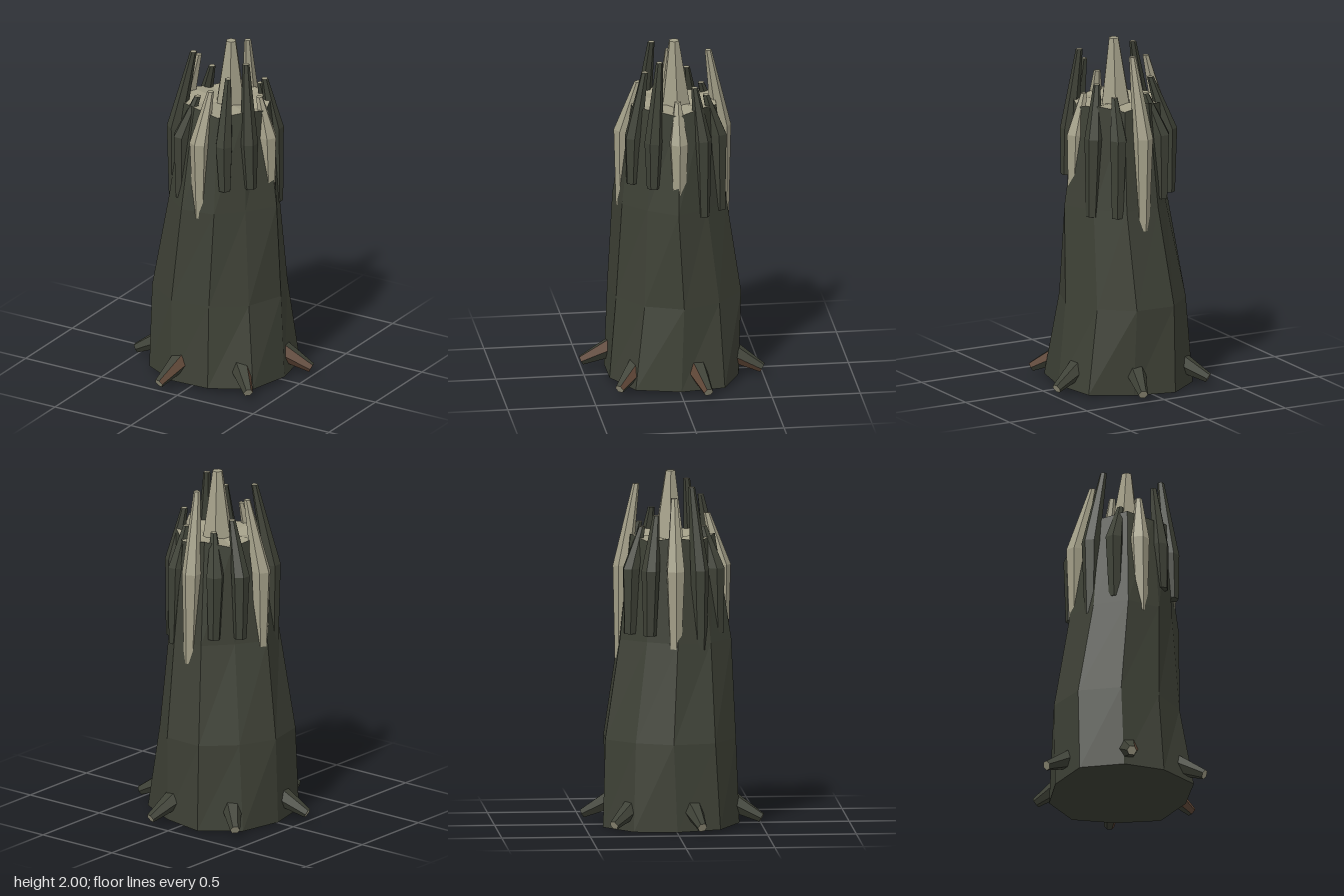
import * as THREE from 'three';

const V = (x, y, z) => new THREE.Vector3(x, y, z);
const MATS = {};
for (const [key, color] of Object.entries({ bark: 0x3e4136, wood: 0xa39f88, brown: 0x5f4636 }))
  MATS[key] = new THREE.MeshStandardMaterial({ color, flatShading: true });

// Ring of points around c, in the plane of u and v
function ring(c, u, v, n, radius) {
  return Array.from({ length: n }, (_, k) => {
    const a = (k / n) * Math.PI * 2;
    const r = Array.isArray(radius) ? radius[k] : radius;
    return c.clone().addScaledVector(u, r * Math.cos(a)).addScaledVector(v, r * Math.sin(a));
  });
}

// Faceted loft through rings; one mesh for each colour used
function loft(name, rings, { side = () => 'bark', start = 'bark', dip = 0 } = {}) {
  const tris = {};
  const add = (key, ...pts) => (tris[key] ??= []).push(...pts);
  const n = rings[0].length;
  const mid = (r) => r.reduce((s, p) => s.add(p), V(0, 0, 0)).divideScalar(n);
  const last = rings[rings.length - 1];
  const c0 = mid(rings[0]);
  const c1 = mid(last);
  c1.y -= dip;
  for (let k = 0; k < n; k++) {
    const m = (k + 1) % n;
    for (let i = 0; i + 1 < rings.length; i++) {
      const a = rings[i], b = rings[i + 1];
      add(side(k), a[k], a[m], b[m], a[k], b[m], b[k]);
    }
    add(start, c0, rings[0][m], rings[0][k]);
    add('wood', c1, last[k], last[m]);
  }
  const group = new THREE.Group();
  group.name = name;
  for (const [key, pts] of Object.entries(tris)) {
    const geo = new THREE.BufferGeometry().setFromPoints(pts);
    geo.computeVertexNormals();
    const mesh = new THREE.Mesh(geo, MATS[key]);
    mesh.name = `${name} ${key}`;
    group.add(mesh);
  }
  return group;
}

export function createModel() {
  const model = new THREE.Group();
  model.name = 'brokenStump';
  const X = V(1, 0, 0), Z = V(0, 0, -1);

  // Uneven ten-sided trunk, flared at the foot, with a shallow pale break on top
  const trunk = [
    [V(0, 0, 0), [0.4, 0.43, 0.38, 0.42, 0.41, 0.39, 0.42, 0.39, 0.39, 0.43]],
    [V(-0.01, 0.5, -0.02), [0.375, 0.358, 0.376, 0.385, 0.352, 0.38, 0.406, 0.39, 0.37, 0.364]],
    [V(0.025, 1.06, 0.01), [0.33, 0.296, 0.318, 0.325, 0.282, 0.33, 0.325, 0.335, 0.305, 0.276]],
    [V(0.028, 1.64, 0), 0.25],
  ].map(([c, r]) => ring(c, X, Z, 10, r));
  trunk[0].forEach((p) => { p.y = 0.02 * (p.x + p.z + 0.6); });
  trunk[3].forEach((p, k) => { p.y += k % 2 ? 0.015 : -0.015; });
  model.add(loft('trunk', trunk, { dip: 0.02 }));

  // Splinters round the rim: [bottom height, tip height], every third one bare wood
  const splinters = [
    [1.1, 1.7], [1.2, 1.93], [1.2, 1.85], [1.02, 1.76], [1.1, 1.7], [1.02, 1.93],
    [1.03, 1.87], [1.1, 1.77], [1.1, 1.7], [0.94, 1.93], [1.02, 1.7], [1.02, 1.77],
  ];
  splinters.forEach(([low, high], i) => {
    const a = (i / 12) * Math.PI * 2;
    const out = V(Math.cos(a), 0, Math.sin(a));
    const across = V(out.z, 0, -out.x);
    const bare = i % 3 === 0;
    const at = (x, y, r) => V(x, y, 0).addScaledVector(out, r);
    const rings = [
      ring(at(0.015, low, 0.285), out, across, 6, 0.036),
      ring(at(0.01, 1.47, 0.277), out, across, 6, bare ? 0.056 : 0.052),
      ring(at(0.035, high, 0.2), out, across, 6, 0.019),
    ];
    const skin = bare ? 'wood' : 'bark';
    model.add(loft('splinter', rings, { side: () => skin, start: skin }));
  });

  // Tall heartwood spike in the middle of the break
  model.add(loft('heartwoodSpike', [
    ring(V(0.035, 1.55, -0.015), X, Z, 6, 0.1),
    ring(V(0.045, 2, -0.005), X, Z, 6, 0.03),
  ], { side: () => 'wood', start: 'wood' }));

  // Six cut root stubs: [angle in degrees, facets with brown bark]
  const roots = [[-16, [2, 3]], [43, [0]], [104, [0]], [165, []], [224, []], [285, [3]]];
  for (const [deg, brown] of roots) {
    const a = THREE.MathUtils.degToRad(deg);
    const at = (r, y) => V(r * Math.cos(a), y, r * Math.sin(a));
    const from = at(0.3, 0.155), to = at(0.512, 0.045);
    const dir = to.clone().sub(from).normalize();
    const u = V(Math.sin(a), 0, -Math.cos(a));
    const v = dir.clone().cross(u);
    model.add(loft('rootStub', [ring(from, u, v, 6, 0.067), ring(to, u, v, 6, 0.028)], {
      side: (k) => (brown.includes(k) ? 'brown' : 'bark'),
    }));
  }
  return model;
}
